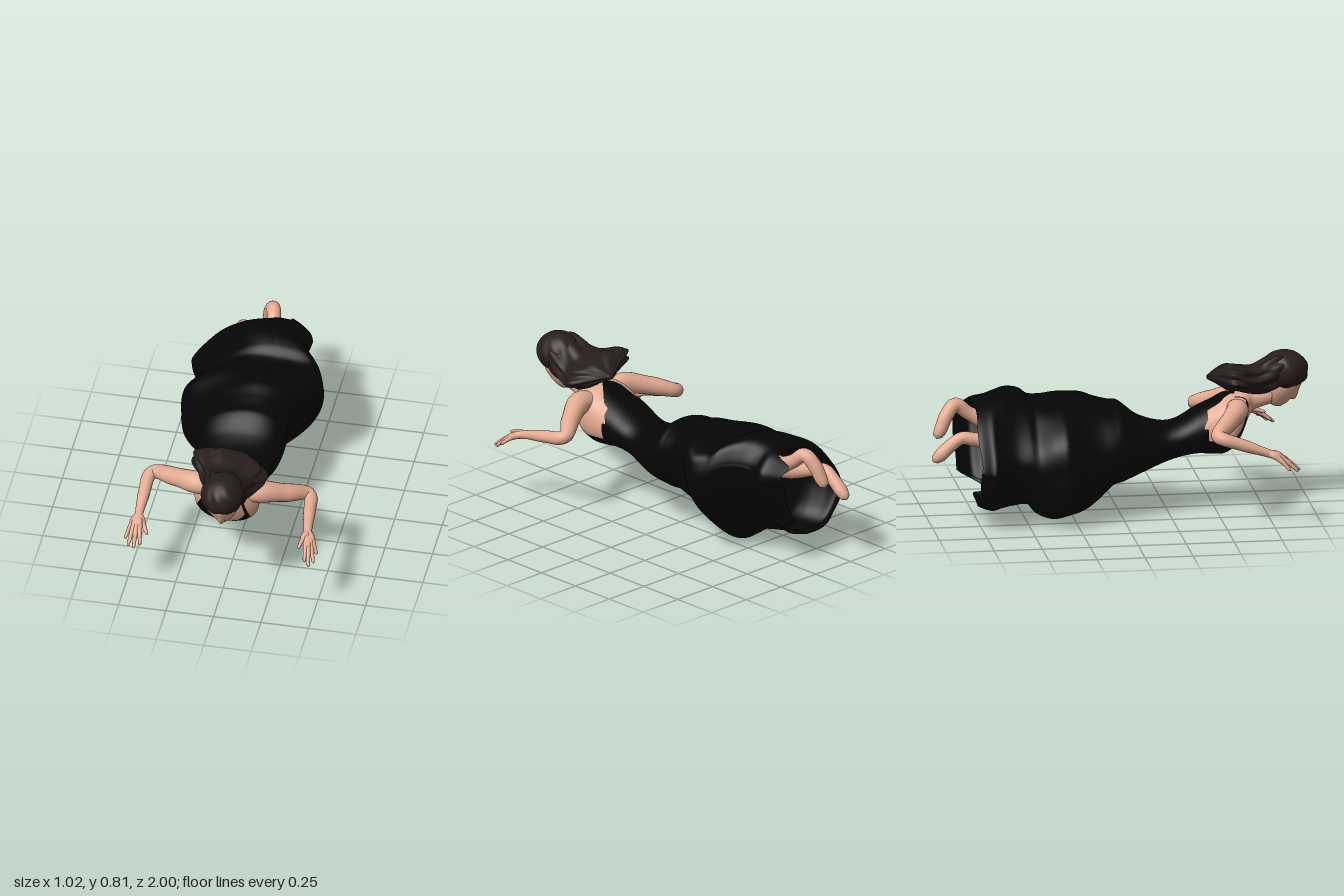
import * as THREE from 'three';
import { mergeVertices } from 'three/addons/utils/BufferGeometryUtils.js';

const V = (p) => new THREE.Vector3(...p);
const gauss = (v, w) => Math.exp(-(v * v) / (w * w));
const { smoothstep, lerp, clamp } = THREE.MathUtils;

// Smoothly interpolates rows of [z, xMin, xMax, yMin, yMax], listed by falling z
function sectionAt(rows, z) {
  let i = 0;
  while (i < rows.length - 2 && z < rows[i + 1][0]) i++;
  const a = rows[i], b = rows[i + 1];
  const p = rows[Math.max(i - 1, 0)], n = rows[Math.min(i + 2, rows.length - 1)];
  const h = b[0] - a[0], t = clamp((z - a[0]) / h, 0, 1);
  return [1, 2, 3, 4].map((k) => {
    const m0 = ((b[k] - p[k]) / (b[0] - p[0])) * h, m1 = ((n[k] - a[k]) / (n[0] - a[0])) * h;
    const t2 = t * t, t3 = t2 * t;
    return (2 * t3 - 3 * t2 + 1) * a[k] + (t3 - 2 * t2 + t) * m0 + (3 * t2 - 2 * t3) * b[k] + (t3 - t2) * m1;
  });
}

// Lofted skin through the rows; triangles are cut where field() changes sign, into two material groups
function loft(rows, { around, along, endZ, shape, ripple, tilt = 0, field = () => -1 }) {
  const pos = [], value = [], lists = [[], []], cuts = new Map(), z0 = rows[0][0];
  for (let i = 0; i <= along; i++) {
    for (let j = 0; j < around; j++) {
      const a = (j / around) * Math.PI * 2, c = Math.cos(a), s = Math.sin(a);
      const z = z0 + (endZ(a) - z0) * (i / along);
      const [x0, x1, y0, y1] = sectionAt(rows, z);
      const { n, lean, crest } = shape(c, s, z), r = 1 + ripple(a, z);
      const midX = (x0 + x1) / 2 + crest, midY = lerp(y0, y1, 0.5 + lean);
      const x = midX + (c > 0 ? x1 - midX : midX - x0) * r * Math.sign(c) * Math.abs(c) ** (2 / n);
      const y = midY + (s > 0 ? y1 - midY : midY - y0) * r * Math.sign(s) * Math.abs(s) ** (2 / n) - tilt * x;
      pos.push(x, y, z);
      value.push(field(x, y, z));
    }
  }
  const cut = (a, b) => {
    const key = Math.min(a, b) + '_' + Math.max(a, b);
    if (!cuts.has(key)) {
      const t = value[a] / (value[a] - value[b]);
      cuts.set(key, pos.length / 3);
      pos.push(...[0, 1, 2].map((k) => lerp(pos[a * 3 + k], pos[b * 3 + k], t)));
    }
    return cuts.get(key);
  };
  const add = (...tri) => {
    const side = tri.map((v) => (value[v] > 0 ? 1 : 0));
    const sum = side[0] + side[1] + side[2];
    if (sum % 3 === 0) return lists[side[0]].push(...tri);
    const odd = side.indexOf(sum === 1 ? 1 : 0);
    const [a, b, c] = [0, 1, 2].map((k) => tri[(odd + k) % 3]);
    const ab = cut(a, b), ac = cut(a, c);
    lists[side[odd]].push(a, ab, ac);
    return lists[1 - side[odd]].push(ab, b, c, ab, c, ac);
  };
  for (let i = 0; i < along; i++) {
    for (let j = 0; j < around; j++) {
      const a = i * around + j, b = i * around + ((j + 1) % around);
      add(a, a + around, b);
      add(b, a + around, b + around);
    }
  }
  const g = new THREE.BufferGeometry();
  g.setAttribute('position', new THREE.Float32BufferAttribute(pos, 3));
  g.setIndex([...lists[0], ...lists[1]]);
  g.addGroup(0, lists[0].length, 0);
  g.addGroup(lists[0].length, lists[1].length, 1);
  g.computeVertexNormals();
  return g;
}

// Tapered round limb; each point is [x, y, z, radius]
function limb(points, steps = 56, sides = 20) {
  const curve = new THREE.CatmullRomCurve3(points.map((p) => V(p.slice(0, 3))), false, 'centripetal');
  const g = new THREE.TubeGeometry(curve, steps, 1, sides, false);
  const pos = g.attributes.position, v = new THREE.Vector3();
  for (let i = 0; i <= steps; i++) {
    const center = curve.getPointAt(i / steps);
    const f = curve.getUtoTmapping(i / steps) * (points.length - 1);
    const k = Math.min(Math.floor(f), points.length - 2);
    const r = lerp(points[k][3], points[k + 1][3], smoothstep(f - k, 0, 1));
    for (let j = 0; j <= sides; j++) {
      const n = i * (sides + 1) + j;
      v.fromBufferAttribute(pos, n).sub(center).multiplyScalar(r).add(center);
      pos.setXYZ(n, v.x, v.y, v.z);
    }
  }
  g.deleteAttribute('uv');
  g.deleteAttribute('normal');
  const out = mergeVertices(g, 1e-5);
  out.computeVertexNormals();
  return out;
}

// Positive on bare skin: neck, neckline, armholes and open back of the halter dress
function skinField(x, y, z) {
  const dx = Math.abs(x + 0.01), front = z - 0.12 - 0.8 * y;
  const inner = y < 0.4 ? 0.1 * Math.sqrt(Math.max(0, (y - 0.305) / 0.095)) : 0.1 - 0.14 * (y - 0.4);
  const outer = x < -0.01 ? 0.17 - 0.44 * (y - 0.385) : 0.127 - 0.2 * (y - 0.355);
  const neckline = Math.min(front, z - 0.53, y - 0.305, inner - dx);
  const back = Math.min(-front, y - 0.45, Math.abs(x + 0.025) - Math.max(0.15 - 0.85 * (z - 0.43), 0.02));
  const armhole = Math.min(y - 0.36, z - 0.45, dx - outer);
  return Math.min(z - 0.42, Math.max(z - 0.68, neckline, back, armhole));
}

const BODY = [
  [0.8, -0.035, 0.07, 0.53, 0.63], [0.7, -0.05, 0.07, 0.495, 0.605], [0.67, -0.09, 0.08, 0.455, 0.605],
  [0.64, -0.145, 0.125, 0.39, 0.605], [0.6, -0.18, 0.155, 0.325, 0.605], [0.55, -0.185, 0.15, 0.29, 0.6],
  [0.5, -0.185, 0.14, 0.287, 0.575], [0.4, -0.18, 0.12, 0.295, 0.53], [0.3, -0.18, 0.105, 0.28, 0.475],
  [0.22, -0.195, 0.12, 0.255, 0.465], [0.1, -0.25, 0.16, 0.21, 0.5], [0, -0.3, 0.18, 0.175, 0.575],
  [-0.05, -0.32, 0.175, 0.165, 0.582], [-0.12, -0.345, 0.17, 0.105, 0.6], [-0.2, -0.38, 0.19, 0.05, 0.625],
  [-0.3, -0.44, 0.27, 0.02, 0.61], [-0.37, -0.425, 0.3, 0.003, 0.59], [-0.45, -0.395, 0.28, 0.03, 0.6],
  [-0.5, -0.385, 0.25, 0.085, 0.64], [-0.58, -0.385, 0.18, 0.09, 0.665], [-0.65, -0.42, 0.14, 0.088, 0.655],
  [-0.7, -0.455, 0.14, 0.085, 0.64], [-0.76, -0.41, 0.16, 0.1, 0.62], [-0.85, -0.39, 0.09, 0.16, 0.58],
];

// Gown cross-section: widest low on its right and high on its left, with an off-centre crest
function gownShape(c, s, z) {
  const k = 1 - smoothstep(z, -0.3, 0.25), boxy = gauss(z + 0.36, 0.1);
  const n = s > 0 ? (c > 0 ? 0.8 * boxy : -0.6 + 1.2 * boxy) : (c > 0 ? -0.6 : 0.25);
  return { n: 2.2 + k * n, lean: k * (c > 0 ? 0.27 : -0.08), crest: k * (s > 0 ? 0.1 : -0.04) };
}

// Hem line: a longer panel on the left, then a notch beside the lower flap
function hemZ(angle) {
  const a = Math.atan2(Math.sin(angle), Math.cos(angle));
  const panel = smoothstep(a, -0.97, -0.88) * (1 - smoothstep(a, 0.9, 1.3));
  return -0.765 - 0.08 * panel + 0.07 * gauss(a + 1.05, 0.1) + 0.005 * Math.sin(7 * a);
}

const HAIR = [
  [0.9, -0.05, 0.1, 0.66, 0.79], [0.84, -0.08, 0.13, 0.61, 0.8], [0.78, -0.1, 0.14, 0.585, 0.775],
  [0.7, -0.13, 0.16, 0.59, 0.735], [0.62, -0.185, 0.2, 0.605, 0.745], [0.57, -0.18, 0.17, 0.615, 0.75],
  [0.52, -0.07, 0.11, 0.645, 0.725], [0.47, 0.02, 0.045, 0.67, 0.69],
];

const HANDS = {
  right: {
    wrist: [-0.45, 0.385, 0.72], thumb: [-0.386, 0.33, 0.815],
    tips: [[-0.502, 0.3, 0.83], [-0.477, 0.29, 0.875], [-0.445, 0.288, 0.888], [-0.414, 0.3, 0.87]],
  },
  left: {
    wrist: [0.437, 0.4, 0.71], thumb: [0.41, 0.375, 0.83],
    tips: [[0.45, 0.32, 0.868], [0.476, 0.304, 0.885], [0.497, 0.31, 0.855], [0.505, 0.335, 0.81]],
  },
};

// Head in its own frame, facing +z: jaw, nose, eye sockets, lips and chin
function headGeometry() {
  const g = new THREE.SphereGeometry(1, 72, 56), p = g.attributes.position;
  for (let i = 0; i < p.count; i++) {
    const sx = p.getX(i), sy = p.getY(i), sz = p.getZ(i);
    const low = Math.max(0, -sy);
    const x = sx * 0.082 * (1 - 0.2 * low * low), y = sy * (sy < 0 ? 0.135 : 0.115);
    let z = sz * 0.1 + (sz > 0 ? 0.035 * low * low : 0.03 * low);
    if (sz > 0) {
      const ridge = smoothstep(y, -0.052, -0.038) * (1 - smoothstep(y, -0.035, 0.035));
      z += 0.02 * ridge * gauss(x, 0.014);
      z -= 0.008 * gauss(Math.abs(x) - 0.032, 0.018) * gauss(y - 0.018, 0.014);
      z += 0.005 * gauss(Math.abs(x) - 0.032, 0.014) * gauss(y - 0.014, 0.008);
      z += 0.006 * gauss(x, 0.022) * (gauss(y + 0.068, 0.006) + gauss(y + 0.082, 0.007));
      z += 0.006 * gauss(x, 0.02) * gauss(y + 0.112, 0.014);
    }
    p.setXYZ(i, x, y, z);
  }
  g.computeVertexNormals();
  return g;
}

// Hair over the skull, ending at a fringe line in front
function hairCapGeometry() {
  const g = new THREE.SphereGeometry(1, 64, 48), p = g.attributes.position;
  for (let i = 0; i < p.count; i++) {
    const a = Math.atan2(p.getX(i), p.getZ(i));
    const r = 1 + 0.03 * Math.sin(9 * a + 5 * p.getY(i)) * (1 - p.getY(i) ** 2);
    const z = 0.87 + p.getZ(i) * 0.125 * r;
    const floor = 0.648 - 0.4 * Math.max(0, 0.91 - z) - 0.015 * gauss(Math.abs(p.getX(i)) - 0.75, 0.25);
    p.setXYZ(i, 0.022 + p.getX(i) * 0.11 * r, Math.max(0.7 + p.getY(i) * 0.108, floor), z);
  }
  g.computeVertexNormals();
  return g;
}

export function createModel() {
  const model = new THREE.Group();
  const material = (name, color, side = THREE.FrontSide) =>
    Object.assign(new THREE.MeshStandardMaterial({ color, side }), { name });
  const skin = material('skin', 0xe4ab92);
  const cloth = material('black cloth', 0x050505, THREE.DoubleSide);
  const hair = material('dark brown hair', 0x281d1d, THREE.DoubleSide);
  const add = (name, geometry, mat, parent = model) => {
    const mesh = new THREE.Mesh(geometry, mat);
    mesh.name = name;
    parent.add(mesh);
    return mesh;
  };

  // Torso and flowing gown, open at the hem
  add('torsoAndGown', loft(BODY, {
    around: 180, along: 200, field: skinField, endZ: hemZ, shape: gownShape,
    ripple: (a, z) => 0.02 * (1 - smoothstep(z, -0.5, 0.1)) * Math.sin(6 * a + 7 * z),
  }), [cloth, skin]);

  // Head and hair
  const head = add('head', headGeometry(), skin);
  head.position.set(0.022, 0.65, 0.86);
  head.rotation.x = 0.72;
  add('hairCap', hairCapGeometry(), hair);
  add('flowingHair', loft(HAIR, {
    around: 72, along: 48, tilt: 0.16, endZ: () => 0.47, shape: () => ({ n: 2.1, lean: 0, crest: 0 }),
    ripple: (a, z) => 0.06 * Math.sin(7 * a + 14 * z) + 0.04 * Math.sin(11 * a - 20 * z),
  }), hair);

  // Arms
  add('rightArm', limb([[-0.09, 0.53, 0.59, 0.05], [-0.17, 0.545, 0.6, 0.058], [-0.3, 0.515, 0.535, 0.048],
    [-0.42, 0.475, 0.465, 0.036], [-0.443, 0.465, 0.49, 0.035], [-0.448, 0.435, 0.58, 0.032],
    [-0.45, 0.385, 0.72, 0.022], [-0.45, 0.37, 0.76, 0.018]]), skin);
  add('leftArm', limb([[0.06, 0.52, 0.58, 0.05], [0.15, 0.53, 0.59, 0.06], [0.28, 0.49, 0.525, 0.048],
    [0.385, 0.45, 0.455, 0.036], [0.405, 0.44, 0.475, 0.035], [0.418, 0.425, 0.57, 0.032],
    [0.437, 0.4, 0.71, 0.022], [0.445, 0.385, 0.75, 0.018]]), skin);

  // Hands: fingers fan out from the wrist through the knuckles
  for (const [side, { wrist, tips, thumb }] of Object.entries(HANDS)) {
    const hand = new THREE.Group();
    hand.name = side + 'Hand';
    model.add(hand);
    const w = V(wrist);
    const finger = (name, tip, rise, thick) => {
      const t = V(tip);
      const at = (f, up, r) => [...w.clone().lerp(t, f).add(V([0, up, 0])).toArray(), r];
      add(name, limb([at(0, 0, 0.019), at(0.3, rise, 0.02), at(0.55, rise, thick), at(0.8, rise * 0.6, 0.01),
        at(0.97, 0, 0.008), at(1, 0, 0.001)], 20, 10), skin, hand);
    };
    tips.forEach((tip, i) => finger('finger' + (i + 1), tip, 0.014, 0.0145));
    finger('thumb', thumb, 0.004, 0.013);
  }

  // Lower legs and pointed feet
  add('rightLeg', limb([[-0.19, 0.38, -0.3, 0.065], [-0.205, 0.41, -0.58, 0.056], [-0.22, 0.455, -0.78, 0.036],
    [-0.225, 0.465, -0.845, 0.033], [-0.226, 0.43, -0.9, 0.034], [-0.23, 0.385, -0.95, 0.035],
    [-0.23, 0.357, -0.982, 0.026], [-0.23, 0.345, -0.995, 0.001]]), skin);
  add('leftLeg', limb([[-0.02, 0.33, -0.35, 0.065], [-0.035, 0.45, -0.6, 0.056], [-0.048, 0.555, -0.79, 0.036],
    [-0.062, 0.602, -0.855, 0.037], [-0.085, 0.55, -0.905, 0.037], [-0.1, 0.485, -0.935, 0.034],
    [-0.106, 0.45, -0.953, 0.026], [-0.108, 0.435, -0.958, 0.001]]), skin);

  return model;
}
